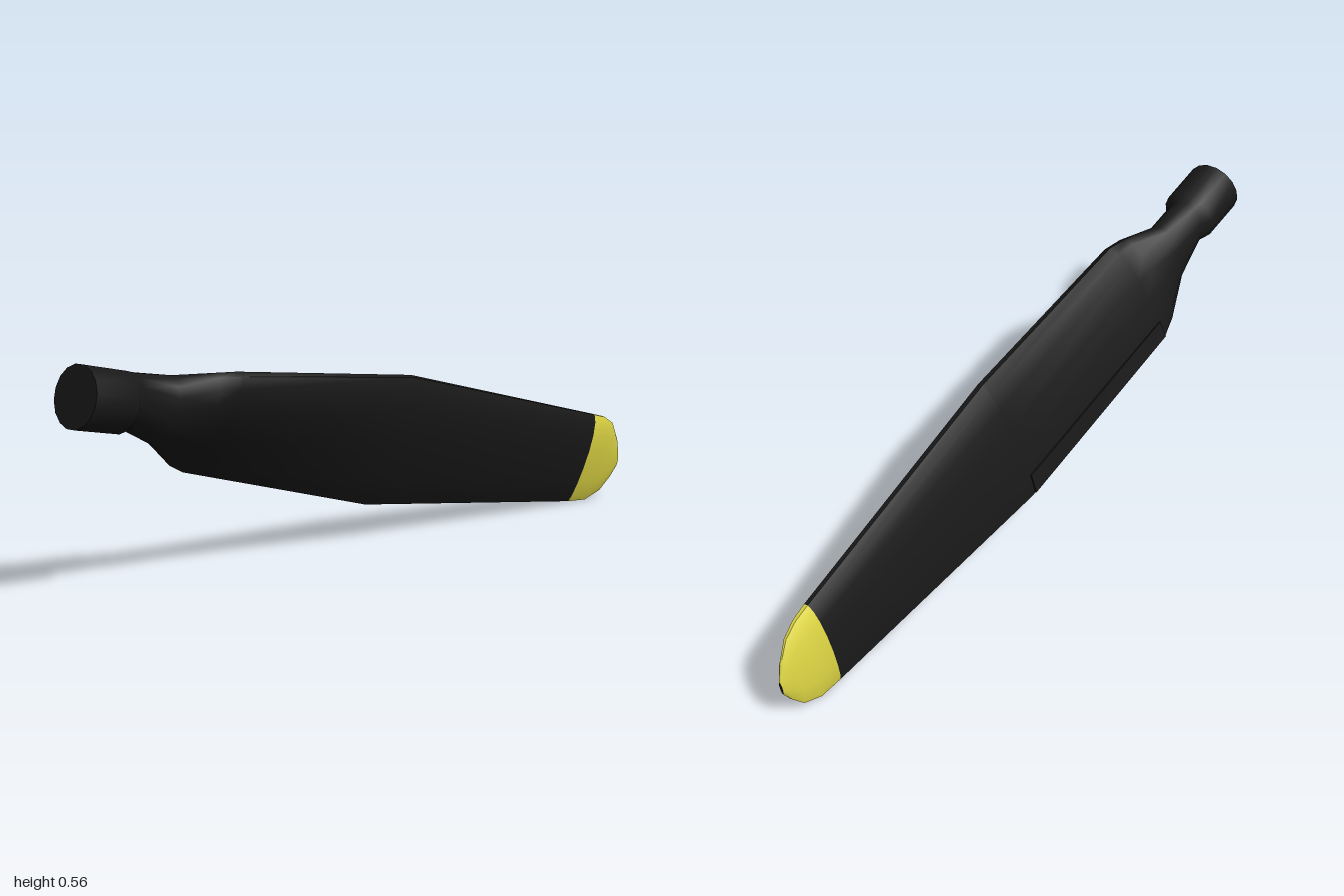
import * as THREE from 'three';
import { toCreasedNormals } from 'three/addons/utils/BufferGeometryUtils.js';

const SIDES = 16;
const AXIS = new THREE.Vector3(0.98, -0.19, 0).normalize();

// A station: upper edge, lower edge, thickness to the front and to the back, taper towards the lower edge
const station = (t, b, front, back, k) => ({ t: new THREE.Vector3(...t), b: new THREE.Vector3(...b), front, back, k });

const root = [
  station([-0.97, 0.56, 0.011], [-1, 0.411, 0.011], 0.076, 0.076, 0),
  station([-0.84, 0.533, 0.011], [-0.868, 0.387, 0.011], 0.076, 0.076, 0),
  station([-0.81, 0.525, 0.006], [-0.835, 0.392, 0.004], 0.055, 0.056, 0),
  station([-0.69, 0.504, 0.018], [-0.725, 0.342, -0.032], 0.05, 0.047, 0.15),
  station([-0.59, 0.503, 0.062], [-0.63, 0.276, -0.073], 0.047, 0.034, 0.35),
];
const inner = station([-0.53, 0.501, 0.073], [-0.575, 0.251, -0.085], 0.043, 0.031, 0.45);
const middle = station([0.1, 0.433, 0.054], [0.04, 0.091, -0.062], 0.034, 0.026, 0.45);
const outer = station([0.86, 0.25, 0.036], [0.81, 0.004, -0.013], 0.024, 0.025, 0.25);
const tip = [
  outer,
  station([0.91, 0.238, 0.033], [0.88, 0, -0.01], 0.02, 0.021, 0.2),
  station([0.955, 0.215, 0.027], [0.94, 0.02, -0.005], 0.015, 0.016, 0.15),
  station([0.986, 0.165, 0.02], [0.976, 0.055, 0.004], 0.01, 0.01, 0.1),
  station([1, 0.118, 0.015], [0.996, 0.082, 0.01], 0.004, 0.004, 0),
];

const mix = THREE.MathUtils.lerp;
const mixStations = (a, c, f) => ({
  t: a.t.clone().lerp(c.t, f), b: a.b.clone().lerp(c.b, f),
  front: mix(a.front, c.front, f), back: mix(a.back, c.back, f), k: mix(a.k, c.k, f),
});

// Point on the skin of a station, lifted outwards by `lift`
function skin(s, angle, lift = 0) {
  const chord = s.t.clone().sub(s.b);
  const normal = AXIS.clone().cross(chord).normalize();
  const c = Math.cos(angle), n = Math.sin(angle);
  return s.t.clone().add(s.b).multiplyScalar(0.5)
    .addScaledVector(chord, 0.5 * c / Math.cos(Math.PI / SIDES))
    .addScaledVector(normal, (n > 0 ? s.front : s.back) * n * (1 + s.k * c) + lift * Math.sign(n));
}

const ring = (s) => Array.from({ length: SIDES }, (_, j) => skin(s, (j + 0.5) / SIDES * Math.PI * 2));

// Triangle fan closing a ring
function fan(out, r, towardsTip) {
  const mid = r.reduce((m, p) => m.add(p), new THREE.Vector3()).divideScalar(r.length);
  r.forEach((p, j) => {
    const q = r[(j + 1) % r.length];
    out.push(mid, ...(towardsTip ? [p, q] : [q, p]));
  });
}

const toGeometry = (points) => toCreasedNormals(new THREE.BufferGeometry().setFromPoints(points), 0.85);

// Skin stretched over a row of rings
function loft(rings, capStart, capEnd) {
  const out = [];
  for (let i = 0; i < rings.length - 1; i++) {
    const r = rings[i], s = rings[i + 1];
    r.forEach((a, j) => {
      const m = (j + 1) % r.length;
      out.push(a, r[m], s[j], r[m], s[m], s[j]);
    });
  }
  if (capStart) fan(out, rings[0], false);
  if (capEnd) fan(out, rings[rings.length - 1], true);
  return toGeometry(out);
}

export function createModel() {
  const group = new THREE.Group();
  const black = new THREE.MeshStandardMaterial({ color: 0x191919 });
  const yellow = new THREE.MeshStandardMaterial({ color: 0xdcd444 });
  const add = (name, geometry, material) => {
    const mesh = new THREE.Mesh(geometry, material);
    mesh.name = name;
    group.add(mesh);
  };

  // Round shank flowing into the twisted blade
  add('blade', loft([...root, inner, middle, outer].map(ring), true, false), black);

  // Painted tip and the small flat at its very end
  add('bladeTip', loft(tip.map(ring), false, false), yellow);
  const flat = [];
  fan(flat, ring(tip[tip.length - 1]), true);
  add('tipEnd', toGeometry(flat), black);

  // Thin raised strip along the lower edge of the back face
  const strip = [0, 0.25, 0.5, 0.75, 0.98].map((f) => {
    const s = mixStations(inner, middle, f);
    const a = Math.PI * 1.07, b = Math.PI * 1.27;
    return [skin(s, a, 0.004), skin(s, b, 0.004), skin(s, b, -0.003), skin(s, a, -0.003)];
  });
  add('edgeStrip', loft(strip, true, true), black);

  return group;
}
